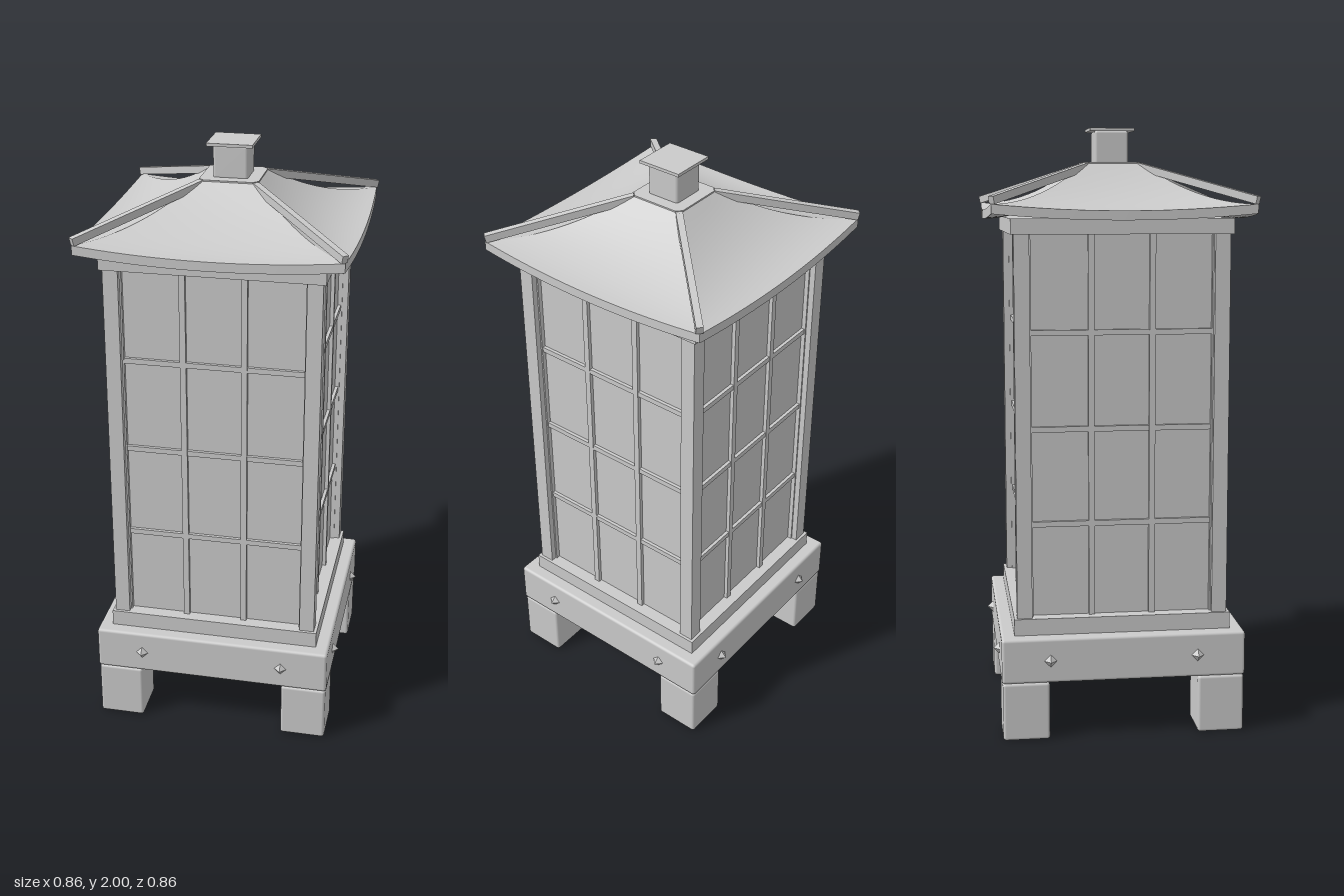
import * as THREE from 'three';
import { RoundedBoxGeometry } from 'three/addons/geometries/RoundedBoxGeometry.js';

const material = new THREE.MeshStandardMaterial({ color: 0xcccccc });

export function createModel() {
  const lantern = new THREE.Group();
  lantern.name = 'gardenLantern';

  const add = (name, geometry, x = 0, y = 0, z = 0, parent = lantern) => {
    const mesh = new THREE.Mesh(geometry, material);
    mesh.name = name;
    mesh.position.set(x, y, z);
    parent.add(mesh);
    return mesh;
  };
  // Boxes given by width, depth and their bottom and top heights
  const box = (name, w, d, y0, y1, x = 0, z = 0, parent = lantern) =>
    add(name, new THREE.BoxGeometry(w, y1 - y0, d), x, (y0 + y1) / 2, z, parent);
  const softBox = (name, w, d, y0, y1, x = 0, z = 0) =>
    add(name, new RoundedBoxGeometry(w, y1 - y0, d, 2, 0.01), x, (y0 + y1) / 2, z);

  // Feet and corner posts
  for (const sx of [-1, 1]) for (const sz of [-1, 1]) {
    softBox('foot', 0.155, 0.155, 0.005, 0.2, sx * 0.325, sz * 0.325);
    box('cornerPost', 0.05, 0.05, 0.39, 1.665, sx * 0.325, sz * 0.325);
  }
  lantern.children.filter(m => m.name === 'foot').forEach(m => { m.position.y -= 0.005; });

  // Plinth, sill and head beam
  softBox('plinth', 0.81, 0.81, 0.195, 0.345);
  box('sill', 0.72, 0.72, 0.34, 0.4);
  box('headBeam', 0.72, 0.72, 1.655, 1.705);

  // Paper box behind the lattice
  box('paperPanels', 0.63, 0.63, 0.39, 1.665);

  // Each side: lattice, edge trim and plinth studs
  for (let i = 0; i < 4; i++) {
    const side = new THREE.Group();
    side.name = 'side';
    side.rotation.y = i * Math.PI / 2;
    lantern.add(side);
    for (const x of [-0.1, 0.1]) box('verticalBar', 0.02, 0.02, 0.4, 1.66, x, 0.318, side);
    for (const y of [0.71, 1.025, 1.34]) box('horizontalBar', 0.6, 0.018, y - 0.009, y + 0.009, 0, 0.317, side);
    for (const s of [-1, 1]) {
      box('edgeTrim', 0.01, 0.02, 0.4, 1.66, s * 0.3, 0.32, side);
      add('stud', new THREE.OctahedronGeometry(0.021), s * 0.245, 0.27, 0.405, side);
    }
  }

  // Sagging hipped roof with lifted corners
  const roof = new THREE.Group();
  roof.name = 'roof';
  lantern.add(roof);
  const roofGeometry = roofSide();
  for (let i = 0; i < 4; i++) {
    const slope = add('roofSlope', roofGeometry, 0, 0, 0, roof);
    slope.rotation.y = i * Math.PI / 2;

    // Straight hip pole above the sagging corner
    const hip = new THREE.Group();
    hip.name = 'hip';
    hip.rotation.y = Math.PI / 4 + i * Math.PI / 2;
    roof.add(hip);
    const inner = 0.088 * Math.SQRT2, outer = 0.421 * Math.SQRT2;
    const run = outer - inner, fall = 0.111;
    const pole = add('hipPole', new THREE.BoxGeometry(0.022, 0.025, Math.hypot(run, fall)),
      0, 1.8175, (inner + outer) / 2, hip);
    pole.rotation.x = Math.atan2(fall, run);
  }

  // Collar with clipped corners, finial block and cap plate
  const a = 0.097, c = 0.08;
  const outline = [[a, c], [c, a], [-c, a], [-a, c], [-a, -c], [-c, -a], [c, -a], [a, -c]];
  const collarShape = new THREE.Shape(outline.map(([x, y]) => new THREE.Vector2(x, y)));
  const collar = new THREE.ExtrudeGeometry(collarShape, { depth: 0.02, bevelEnabled: false });
  collar.rotateX(-Math.PI / 2);
  add('collar', collar, 0, 1.867, 0, roof);
  softBox('finialBlock', 0.115, 0.115, 1.88, 1.993);
  box('capPlate', 0.15, 0.15, 1.99, 2.0);

  return lantern;
}

// One roof slope facing +z: top skin, eave band and underside
function roofSide() {
  const U = 20, V = 14, thickness = 0.03;
  const positions = [], indices = [];
  const point = (s, t, drop) => {
    const half = 0.095 + 0.327 * t;
    const eave = 1.73 + 0.02 * s * s;
    const y = eave + (1.884 - eave) * Math.pow(1 - t, 2) - drop;
    return [s * half, y, half + 0.01 * t * (1 - s * s)];
  };
  const grid = (rows, at) => {
    const start = positions.length / 3;
    for (let j = 0; j <= rows; j++)
      for (let i = 0; i <= U; i++) positions.push(...at(i / U * 2 - 1, j / rows));
    for (let j = 0; j < rows; j++) for (let i = 0; i < U; i++) {
      const p = start + j * (U + 1) + i, q = p + U + 1;
      indices.push(p, q, p + 1, p + 1, q, q + 1);
    }
  };
  grid(V, (s, t) => point(s, t, 0));
  grid(1, (s, t) => point(s, 1, t * thickness));
  grid(V, (s, t) => point(s, 1 - t, thickness));
  const geometry = new THREE.BufferGeometry();
  geometry.setAttribute('position', new THREE.Float32BufferAttribute(positions, 3));
  geometry.setIndex(indices);
  geometry.computeVertexNormals();
  return geometry;
}
